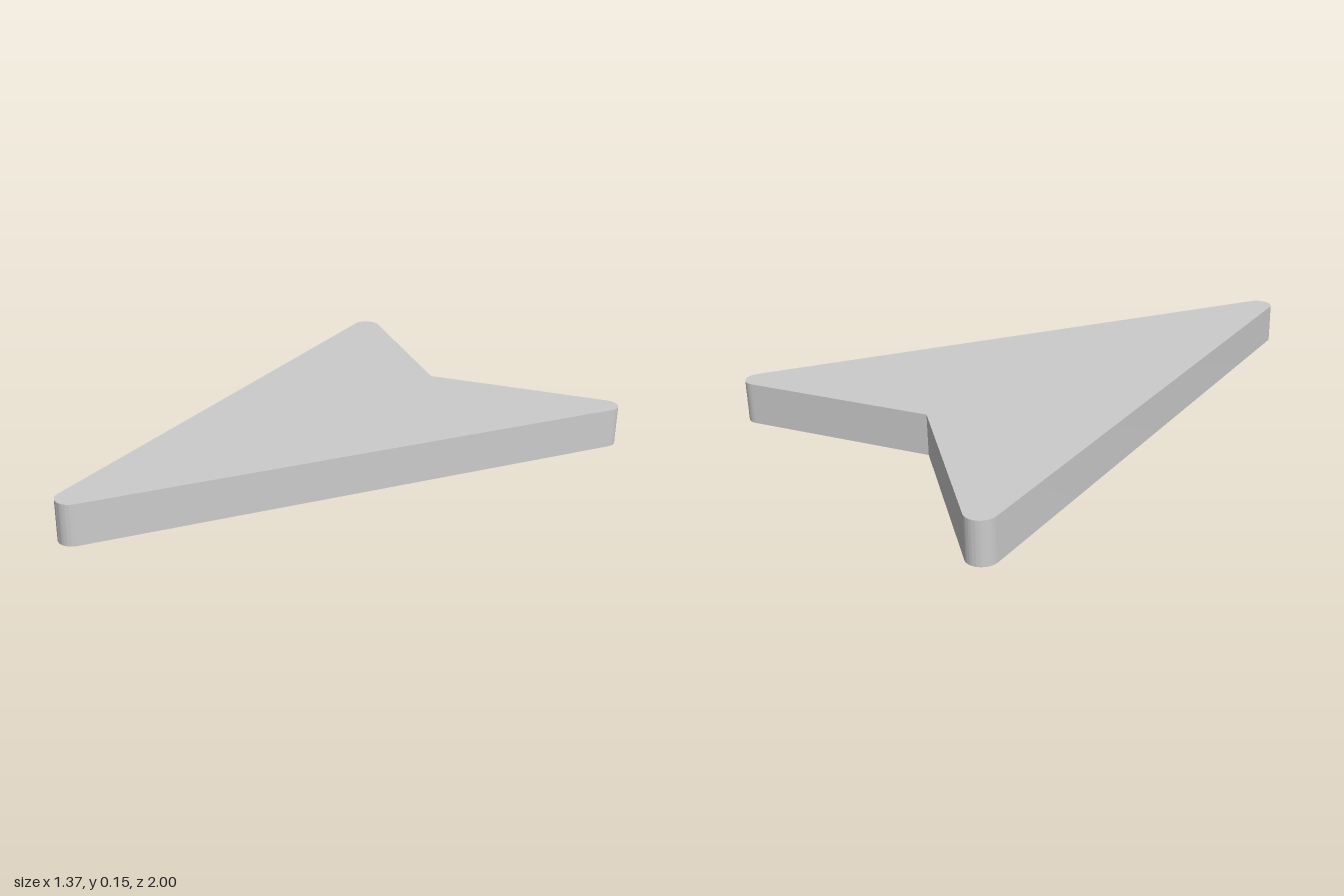
import * as THREE from 'three';
import { toCreasedNormals } from 'three/addons/utils/BufferGeometryUtils.js';

export function createModel() {
  const height = 0.146, radius = 0.052;
  const wingX = 0.633, endZ = 1 - radius, notchZ = -0.69;

  // Directions in which the long sides and the notch edges face
  const side = -Math.atan2(wingX, 2 * endZ);
  const rear = 2.033;

  // Outline with rounded tip and wings; shape y is -z
  const outline = new THREE.Shape();
  outline.absarc(0, -endZ, radius, Math.PI - side, 2 * Math.PI + side, false);
  outline.absarc(wingX, endZ, radius, side, rear, false);
  outline.lineTo(0, -notchZ);
  outline.absarc(-wingX, endZ, radius, Math.PI - rear, Math.PI - side, false);
  outline.closePath();

  // Flat plate, smooth around the rounded corners only
  const plate = new THREE.ExtrudeGeometry(outline, {
    depth: height, bevelEnabled: false, curveSegments: 20,
  });
  plate.rotateX(-Math.PI / 2);

  const arrowhead = new THREE.Mesh(
    toCreasedNormals(plate, Math.PI / 6),
    new THREE.MeshStandardMaterial({ color: 0xcccccc }),
  );
  arrowhead.name = 'arrowhead';

  const model = new THREE.Group();
  model.name = 'navigationArrow';
  model.add(arrowhead);
  return model;
}
